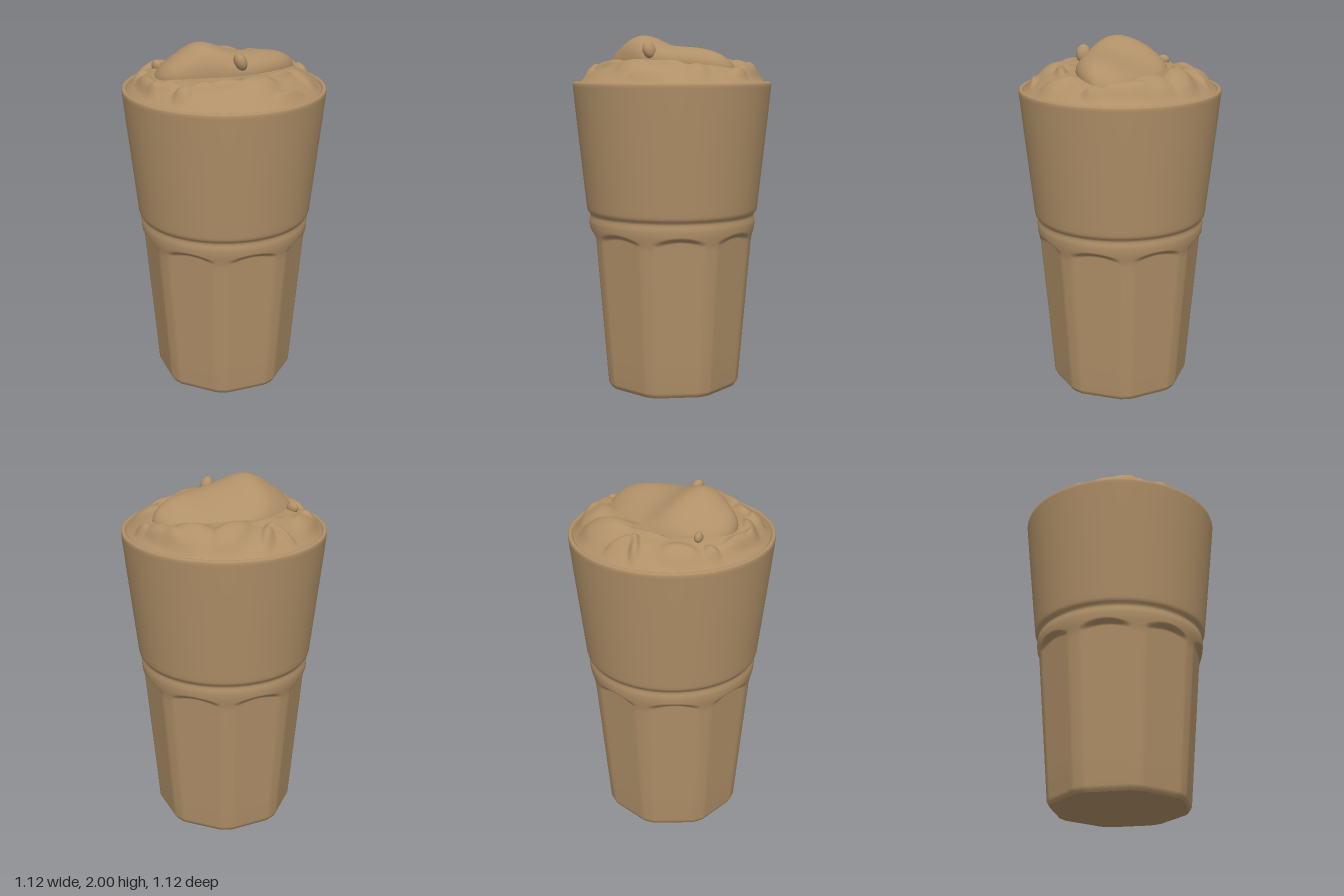
import * as THREE from 'three';

const SEG = 240;
const { smoothstep, lerp } = THREE.MathUtils;

// Closed surface of stacked rings; point(i, t) gives [x, y, z] at ring i, angle t
function ringSurface(rings, point) {
  const pos = [], index = [];
  for (let i = 0; i < rings; i++) {
    for (let j = 0; j < SEG; j++) {
      pos.push(...point(i, (j / SEG) * Math.PI * 2));
      if (i === rings - 1) continue;
      const a = i * SEG + j, b = i * SEG + (j + 1) % SEG;
      index.push(a, b, a + SEG, b, b + SEG, a + SEG);
    }
  }
  const g = new THREE.BufferGeometry();
  g.setAttribute('position', new THREE.Float32BufferAttribute(pos, 3));
  g.setIndex(index);
  g.computeVertexNormals();
  return g;
}

// Tumbler outline without facets, as [y, radius]
const profile = [];
for (const y of [0, 0.006, 0.014, 0.03, 0.2, 0.4, 0.6, 0.75]) profile.push([y, (0.372 + 0.078 * y) / 0.954]);
for (let y = 0.8; y < 0.935; y += 0.005) profile.push([y, (0.372 + 0.078 * y) / 0.954 + 0.008 * smoothstep(y, 0.84, 0.93)]);
profile.push([0.945, 0.475], [0.96, 0.475], [0.975, 0.471], [0.987, 0.469], [0.997, 0.471], [1.007, 0.48],
  [1.016, 0.486], [1.03, 0.489], [1.06, 0.492], [1.3, 0.517], [1.5, 0.538], [1.71, 0.559], [1.725, 0.56],
  [1.734, 0.557], [1.738, 0.551], [1.738, 0.542], [1.734, 0.536], [1.724, 0.531]);

// Eight flat panels with arched tops, cut into the round lower body
function tumblerPoint(i, t) {
  const [y, round] = profile[i];
  let r = round;
  if (y < 0.95) {
    const phi = ((t * 180 / Math.PI + 22.5) % 45) - 22.5;
    const panel = (0.372 + 0.078 * y) / Math.cos(phi * Math.PI / 180);
    const top = 0.888 - 0.03 * (phi / 17.5) ** 2;
    r = lerp(Math.min(panel, round), round, smoothstep(y, top, top + 0.03));
    r *= 1 - 0.045 * (1 - smoothstep(y, -0.01, 0.03));
  }
  return [r * Math.sin(t), y, r * Math.cos(t)];
}

// Foam lumps: x, z, half length, half width, turn, height
const lumps = [
  [-0.14, -0.42, 0.07, 0.02, 0.9, 0.03], [-0.05, -0.43, 0.08, 0.025, -1.0, 0.03],
  [0.13, -0.37, 0.14, 0.07, -0.6, 0.04], [-0.35, -0.3, 0.1, 0.06, -0.6, 0.03],
  [-0.44, -0.17, 0.04, 0.035, 0.5, 0.03], [-0.45, 0.04, 0.03, 0.12, 0, 0.03],
  [-0.4, 0.17, 0.07, 0.03, 0.7, 0.03], [-0.34, 0.3, 0.04, 0.04, 0, 0.035],
  [-0.25, 0.3, 0.05, 0.022, 0, 0.025], [-0.13, 0.34, 0.08, 0.03, 0.2, 0.03],
  [0.05, 0.36, 0.09, 0.09, 0, 0.03], [0.2, 0.27, 0.08, 0.025, -0.4, 0.025],
  [0.2, 0.45, 0.09, 0.03, -0.35, 0.03], [0.38, 0.25, 0.05, 0.1, -0.6, 0.02],
  [0.47, 0.0, 0.03, 0.04, 0, 0.03], [0.32, -0.28, 0.1, 0.1, 0.5, 0.035],
  [0.42, -0.15, 0.04, 0.11, -0.3, 0.035], [-0.1, -0.3, 0.09, 0.025, -0.3, 0.02],
];
function foamHeight(x, z) {
  const edge = 0.532 - Math.hypot(x, z);
  let y = 1.728 + 0.105 * Math.sin(Math.min(1, edge / 0.2) * Math.PI / 2);
  for (const [cx, cz, a, b, turn, h] of lumps) {
    const c = Math.cos(turn), s = Math.sin(turn), dx = x - cx, dz = z - cz;
    const d = ((dx * c + dz * s) / a) ** 2 + ((dz * c - dx * s) / b) ** 2;
    y += h * Math.exp(-d * d * 0.7) * smoothstep(edge, 0, 0.06);
  }
  return y;
}
const FOAM_RINGS = 64;
function foamPoint(i, t) {
  const r = 0.532 * (1 - i / (FOAM_RINGS - 1));
  const x = r * Math.sin(t), z = r * Math.cos(t);
  return [x, foamHeight(x, z), z];
}

// Large cream dollop: plan outline, crest to the front left, sloping to the back
const outline = new THREE.CatmullRomCurve3([
  [0.01, 0.225], [0.16, 0.2], [0.3, 0.135], [0.385, 0.06], [0.413, 0], [0.385, -0.09], [0.3, -0.17],
  [0.16, -0.24], [0, -0.255], [-0.16, -0.235], [-0.3, -0.165], [-0.37, -0.09], [-0.4, 0.02],
  [-0.37, 0.11], [-0.3, 0.165], [-0.15, 0.205],
].map(([x, z]) => new THREE.Vector3(x, 0, z)), true);
const rim = Array.from({ length: SEG }, (_, j) => outline.getPoint(j / SEG));
const DOLLOP_RINGS = 40;
function dollopPoint(i, t) {
  const u = Math.cos((i / (DOLLOP_RINGS - 1)) * Math.PI / 2);
  const p = rim[Math.round(t / (Math.PI * 2) * SEG) % SEG];
  const x = p.x * u, z = p.z * u;
  const crest = 1.934 + 0.068 * Math.exp(-(((x + 0.16) / 0.14) ** 2));
  const top = crest - 0.11 * smoothstep(0.08 - z, 0, 0.4);
  const base = 1.79 + 0.05 * smoothstep(p.z, -0.05, 0.2);
  return [x, base + (top - base) * Math.sqrt(Math.max(0, 1 - u ** 4)), z];
}

export function createModel() {
  const group = new THREE.Group();
  const tan = new THREE.MeshStandardMaterial({ color: 0xb09068 });
  tan.name = 'coffeeTan';

  const add = (name, geometry) => {
    const mesh = new THREE.Mesh(geometry, tan);
    mesh.name = name;
    group.add(mesh);
    return mesh;
  };

  add('tumbler', ringSurface(profile.length, tumblerPoint));
  // Underside closes the facetted body
  add('tumblerBase', ringSurface(2, (i, t) => {
    const [x, , z] = tumblerPoint(0, t);
    return [x * i, 0, z * i];
  }));
  add('foam', ringSurface(FOAM_RINGS, foamPoint));
  add('creamDollop', ringSurface(DOLLOP_RINGS, dollopPoint));

  // Small curled tips of cream
  const tip = add('creamTip', new THREE.SphereGeometry(1, 24, 16));
  tip.scale.set(0.033, 0.05, 0.04);
  tip.position.set(0.012, 1.913, 0.21);
  tip.rotation.z = 0.4;
  const nub = add('foamNub', new THREE.SphereGeometry(1, 24, 16));
  nub.scale.set(0.022, 0.03, 0.035);
  nub.position.set(-0.335, 1.84, -0.155);
  nub.rotation.y = 0.4;
  return group;
}
